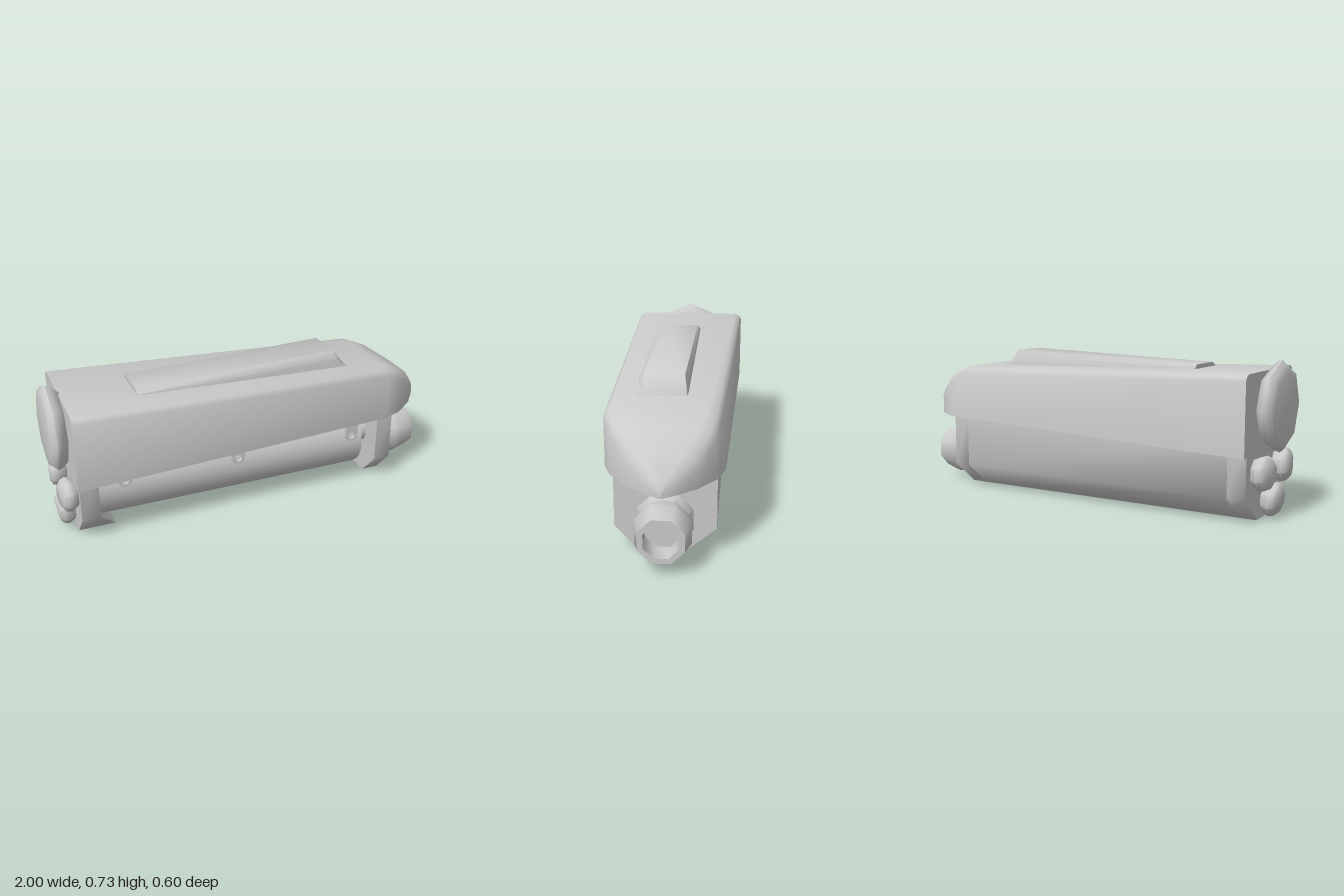
import * as THREE from 'three';
import { toCreasedNormals } from 'three/addons/utils/BufferGeometryUtils.js';

const material = new THREE.MeshStandardMaterial({ color: 0xcccccc });

// Skin a run of cross-sections along x. Points are [z, y] or [z, y, x], starting
// on +z, going up and over to -z.
function loft(stations, crease) {
  const pos = [];
  const n = stations[0].pts.length;
  const vert = (i, j) => {
    const [z, y, x = stations[i].x] = stations[i].pts[j % n];
    return [x, y, z];
  };
  const tri = (a, b, c) => pos.push(...a, ...b, ...c);
  const last = stations.length - 1;
  for (let i = 0; i < last; i++) {
    for (let j = 0; j < n; j++) {
      tri(vert(i, j), vert(i + 1, j), vert(i + 1, j + 1));
      tri(vert(i, j), vert(i + 1, j + 1), vert(i, j + 1));
    }
  }
  for (let k = 1; k < n - 1; k++) {
    tri(vert(0, 0), vert(0, k), vert(0, k + 1));
    tri(vert(last, 0), vert(last, k + 1), vert(last, k));
  }
  const g = new THREE.BufferGeometry();
  g.setAttribute('position', new THREE.Float32BufferAttribute(pos, 3));
  return toCreasedNormals(g, crease);
}

// Eight-sided turned part along x; profile points are [radius, x]
function turned(profile, turn = Math.PI / 8) {
  const pts = profile.map(([r, x]) => new THREE.Vector2(r, x));
  const g = new THREE.LatheGeometry(pts, 8, turn);
  g.rotateZ(-Math.PI / 2);
  return toCreasedNormals(g, 0.9);
}

// Flat eyelet hanging down from its tab
function eyelet() {
  const s = new THREE.Shape();
  s.moveTo(0.032, 0.06);
  s.lineTo(-0.032, 0.06);
  s.lineTo(-0.032, 0);
  s.absarc(0, 0, 0.032, Math.PI, Math.PI * 2, false);
  const hole = new THREE.Path();
  hole.absarc(0, 0, 0.018, 0, Math.PI * 2, true);
  s.holes.push(hole);
  return new THREE.ExtrudeGeometry(s, { depth: 0.013, bevelEnabled: false, curveSegments: 6 });
}

export function createModel() {
  const model = new THREE.Group();
  const add = (name, geometry, x = 0, y = 0, z = 0) => {
    const mesh = new THREE.Mesh(geometry, material);
    mesh.name = name;
    mesh.position.set(x, y, z);
    model.add(mesh);
    return mesh;
  };

  // Upper hull: x, bottom, top, +z side, -z side, bevel width, bevel height, lean of -z side
  const hull = [
    [-0.918, 0.32, 0.685, 0.3, -0.3, 0.035, 0.03, 0],
    [0.68, 0.378, 0.645, 0.275, -0.258, 0.06, 0.035, 0.022],
    [0.78, 0.378, 0.605, 0.238, -0.23, 0.065, 0.05, 0.015],
    [0.89, 0.378, 0.53, 0.152, -0.15, 0.06, 0.06, 0],
    [0.96, 0.378, 0.452, 0.066, -0.066, 0.035, 0.04, 0],
    [1, 0.378, 0.4, 0.004, -0.004, 0.002, 0.01, 0],
  ].map(([x, b, t, l, r, w, h, lean]) => ({
    x,
    pts: [[l, b], [l, t - h], [l - w * 0.33, t - h * 0.33], [l - w, t],
      [r + lean + w, t], [r + lean + w * 0.33, t - h * 0.33], [r + lean, t - h], [r, b]],
  }));
  add('upperHull', loft(hull, 0.8));

  // Raised spine on the roof, with a sloped front face: x, top, shoulder height
  const spine = ([x, t, s]) => ({
    x,
    pts: [[0.155, 0.635], [0.152, s], [0.122, t], [-0.062, t], [-0.076, s], [-0.08, 0.635]],
  });
  const spineStations = [[-0.58, 0.697, 0.681], [0.44, 0.73, 0.695], [0.5, 0.654, 0.652]];
  add('roofSpine', loft(spineStations.map(spine), 1));

  // Lower body: half-width wall, open towards +z
  const wall = [[-0.075, 0], [-0.075, 0.39], [-0.225, 0.39], [-0.225, 0.12], [-0.08, 0]];
  add('lowerWall', loft([{ x: -0.81, pts: wall }, { x: 0.66, pts: wall }], 0.95));

  // Full-width end bulkheads; the rear one runs forward in a wedge at its foot
  const plate = [[0.23, 0.12], [0.23, 0.39], [-0.225, 0.39], [-0.225, 0.12], [-0.08, 0], [0.12, 0]];
  add('rearBulkhead', loft([
    { x: -0.9, pts: plate },
    { x: -0.81, pts: plate.map(([z, y]) => [z, y, y > 0 ? -0.81 : -0.72]) },
  ], 0.95));
  add('frontBulkhead', loft([{ x: 0.66, pts: plate }, { x: 0.745, pts: plate }], 0.95));

  // Long barrel in the recess, and its neck
  const barrel = new THREE.CylinderGeometry(0.17, 0.17, 1.4, 24).rotateZ(-Math.PI / 2);
  add('barrel', barrel, -0.12, 0.23, 0.055);
  const neck = new THREE.CylinderGeometry(0.072, 0.072, 0.12, 16).rotateZ(-Math.PI / 2);
  add('barrelNeck', neck, 0.62, 0.23, 0.055);

  // Hollow front nozzle
  add('frontNozzle', turned([
    [0.134, 0.73], [0.132, 0.75], [0.114, 0.785], [0.134, 0.85], [0.134, 0.875],
    [0.109, 0.965], [0.083, 0.965], [0.083, 0.86], [0, 0.86],
  ]), 0, 0.162, 0.002);

  // Large rear dish, standing on a corner
  add('rearDish', turned([
    [0, -1], [0.16, -1], [0.193, -0.99], [0.211, -0.97], [0.206, -0.95], [0.17, -0.912], [0, -0.905],
  ], 0), 0, 0.519, 0.005);

  // Three small rear thrusters, splayed outwards: y, z, pitch, yaw
  const thrusters = [[0.228, 0.145, 0, 0.15], [0.228, -0.115, 0, -0.15], [0.085, 0.02, 0.15, 0]];
  for (const [y, z, pitch, yaw] of thrusters) {
    const thruster = add('rearThruster', turned([
      [0, -0.042], [0.056, -0.04], [0.078, -0.024], [0.084, 0], [0.064, 0.04], [0, 0.06],
    ]), -0.938, y, z);
    thruster.rotation.set(0, yaw, pitch);
  }

  // Eyelets under the hull edge and one on the lower wall
  for (const x of [-0.69, -0.125, 0.495]) add('hullEyelet', eyelet(), x, 0.308, 0.25);
  const low = add('lowerEyelet', eyelet(), -0.12, 0.015, -0.035);
  low.rotation.x = -Math.PI / 2;

  return model;
}
